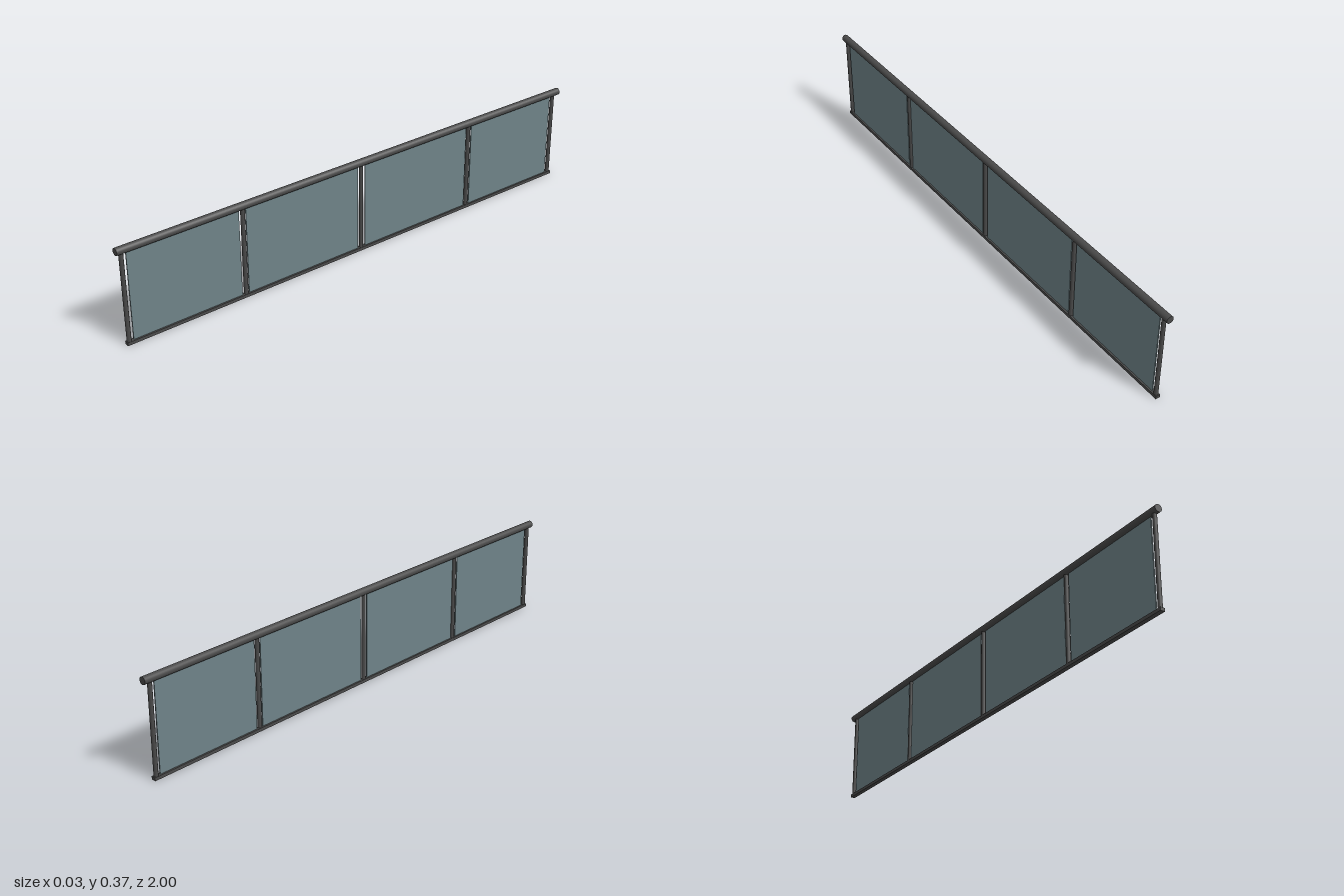
import * as THREE from 'three';

export function createModel() {
  const group = new THREE.Group();
  const metal = new THREE.MeshStandardMaterial({ color: 0x4a4a4a });
  const glass = new THREE.MeshStandardMaterial({ color: 0x6f8388 });

  function add(name, geometry, material, y, z) {
    const mesh = new THREE.Mesh(geometry, material);
    mesh.name = name;
    mesh.position.set(0, y, z);
    group.add(mesh);
    return mesh;
  }

  // Round handrail along the full length
  const handrailGeometry = new THREE.CylinderGeometry(0.0138, 0.0138, 2, 24);
  handrailGeometry.rotateX(Math.PI / 2);
  add('handrail', handrailGeometry, metal, 0.356, 0);

  // Flat bottom rail
  add('bottomRail', new THREE.BoxGeometry(0.017, 0.012, 1.974), metal, 0.006, 0.003);

  // Slim round posts
  const postGeometry = new THREE.CylinderGeometry(0.008, 0.008, 0.34, 12);
  [0.98, 0.514, 0.002, -0.52, -0.973].forEach((z, i) => {
    add(`post${i + 1}`, postGeometry, metal, 0.18, z);
  });

  // Glass panels, with a narrow gap beside each post
  const panels = [[0.963, 0.53], [0.502, 0.018], [-0.015, -0.507], [-0.534, -0.957]];
  panels.forEach(([front, back], i) => {
    const geometry = new THREE.BoxGeometry(0.004, 0.335, front - back);
    add(`glassPanel${i + 1}`, geometry, glass, 0.1785, (front + back) / 2);
  });

  return group;
}
